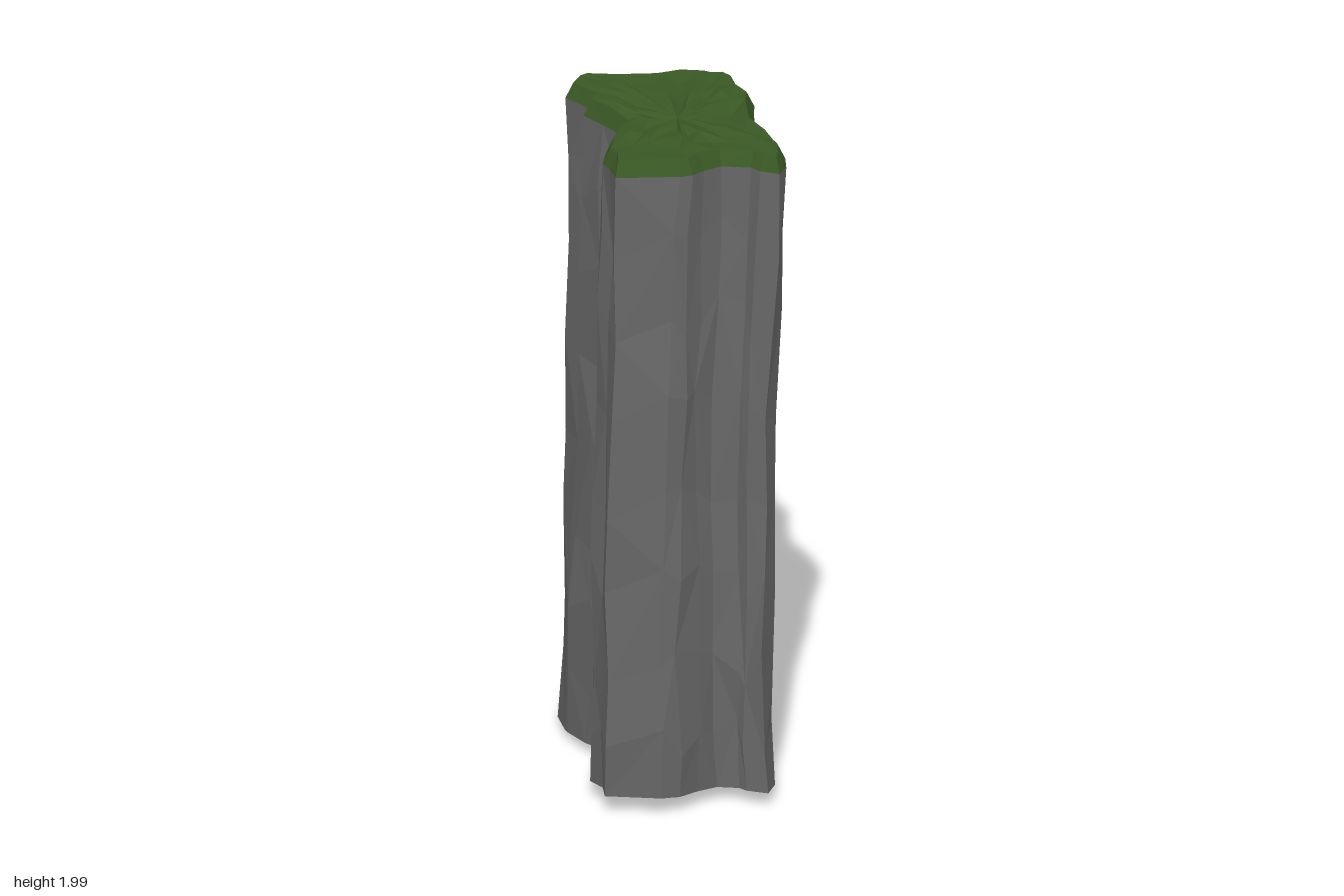
import * as THREE from 'three';

// Outlines as x, z pairs, clockwise seen from above; points correspond
const TOP = [
  -0.14, -0.49, -0.10, -0.47, -0.075, -0.50, -0.02, -0.47, 0.03, -0.405, 0.085, -0.37,
  0.12, -0.30, 0.16, -0.23, 0.21, -0.15, 0.29, -0.09, 0.35, -0.03, 0.38, 0.00,
  0.42, 0.07, 0.43, 0.13, 0.37, 0.135, 0.33, 0.12, 0.25, 0.15, 0.225, 0.21,
  0.215, 0.26, 0.19, 0.29, 0.03, 0.39, -0.02, 0.33, -0.065, 0.29, -0.10, 0.20,
  -0.13, 0.11, -0.14, 0.04, -0.22, -0.01, -0.31, -0.06, -0.32, -0.12, -0.43, -0.175,
  -0.445, -0.255, -0.42, -0.28, -0.375, -0.315, -0.34, -0.325, -0.25, -0.39, -0.20, -0.44,
];
const BOTTOM = [
  -0.14, -0.38, -0.10, -0.36, -0.06, -0.39, -0.01, -0.36, 0.04, -0.30, 0.09, -0.27,
  0.125, -0.20, 0.17, -0.13, 0.215, -0.05, 0.29, 0.01, 0.35, 0.07, 0.39, 0.10,
  0.425, 0.15, 0.445, 0.23, 0.38, 0.24, 0.35, 0.23, 0.29, 0.255, 0.26, 0.32,
  0.24, 0.39, 0.20, 0.43, 0.05, 0.495, 0.01, 0.43, -0.05, 0.395, -0.10, 0.29,
  -0.13, 0.20, -0.14, 0.13, -0.22, 0.10, -0.31, 0.04, -0.33, 0.02, -0.40, -0.07,
  -0.42, -0.15, -0.40, -0.18, -0.36, -0.205, -0.33, -0.215, -0.25, -0.28, -0.20, -0.33,
];
const N = TOP.length / 2;

// Sloping planes of the underside and of the grass line
const baseY = (x, z) => Math.max(0, 0.024 + 0.01 * x + 0.06 * z);
const grassY = (x, z) => 1.92 + 0.02 * x + 0.05 * z;

function seeded(seed) {
  return () => {
    seed = (seed * 16807) % 2147483647;
    return (seed / 2147483647) * 2 - 1;
  };
}

// Faceted skin over a stack of rings, with an optional closing point
function skin(rings, tip, tipUp) {
  const out = [];
  const tri = (a, b, c) => { for (const p of [a, b, c]) out.push(p.x, p.y, p.z); };
  for (let k = 0; k + 1 < rings.length; k++) {
    for (let i = 0; i < N; i++) {
      const j = (i + 1) % N, lo = rings[k], hi = rings[k + 1];
      if ((i + k) % 2) {
        tri(lo[j], lo[i], hi[i]);
        tri(lo[j], hi[i], hi[j]);
      } else {
        tri(lo[j], lo[i], hi[j]);
        tri(lo[i], hi[i], hi[j]);
      }
    }
  }
  if (tip) {
    const ring = rings[rings.length - 1];
    for (let i = 0; i < N; i++) {
      const j = (i + 1) % N;
      if (tipUp) tri(ring[j], ring[i], tip);
      else tri(ring[i], ring[j], tip);
    }
  }
  const g = new THREE.BufferGeometry();
  g.setAttribute('position', new THREE.Float32BufferAttribute(out, 3));
  g.computeVertexNormals();
  return g;
}

export function createModel() {
  const rock = new THREE.MeshStandardMaterial({ color: 0x666666, flatShading: true });
  rock.name = 'rock grey';
  const grass = new THREE.MeshStandardMaterial({ color: 0x3a5925, flatShading: true });
  grass.name = 'grass green';
  const model = new THREE.Group();
  model.name = 'rockPillar';
  const add = (name, geometry, material) => {
    const mesh = new THREE.Mesh(geometry, material);
    mesh.name = name;
    model.add(mesh);
  };

  // Leaning rock wall: rings blend from the bottom outline to the top one
  const rnd = seeded(41);
  const levels = [0, 0.09, 0.2, 0.34, 0.48, 0.62, 0.76, 0.89, 1];
  const wall = levels.map((v) => {
    const t = Math.max(0, (v - 0.15) / 0.85);
    const waist = Math.sin(Math.PI * v);
    const inner = v > 0 && v < 1 ? 1 : 0;
    return Array.from({ length: N }, (_, i) => {
      const mix = (c) => THREE.MathUtils.lerp(BOTTOM[2 * i + c], TOP[2 * i + c], t);
      const x = mix(0) * (1 - 0.045 * waist) + inner * 0.01 * rnd();
      const z = mix(1) + inner * 0.01 * rnd();
      const h = v + inner * 0.035 * rnd();
      return new THREE.Vector3(x, THREE.MathUtils.lerp(baseY(x, z), grassY(x, z), h), z);
    });
  });
  add('rockWall', skin(wall), rock);

  // Flat underside
  add('rockUnderside', skin([wall[0]], new THREE.Vector3(0, baseY(0, 0.06), 0.06), false), rock);

  // Grass rim: bevel inset along the outline's own normals
  const edge = wall[wall.length - 1];
  const bump = seeded(97);
  const rim = edge.map((p, i) => {
    const d = edge[(i + 1) % N].clone().sub(edge[(i + N - 1) % N]).setY(0).normalize();
    const x = p.x - d.z * 0.024, z = p.z + d.x * 0.024;
    return new THREE.Vector3(x, grassY(x, z) + 0.05 + 0.005 * bump(), z);
  });
  add('grassRim', skin([edge, rim]), grass);

  // Uneven turf: rings shrinking to the middle
  const mid = new THREE.Vector3(0, 1.965, -0.05);
  const turf = [rim];
  for (const s of [0.76, 0.5, 0.24]) {
    turf.push(rim.map((p) => {
      const q = p.clone().lerp(mid, 1 - s);
      // shallow hollow near the back right edge
      const hollow = 0.02 * Math.exp(-((q.x - 0.13) ** 2 + (q.z + 0.14) ** 2) / 0.008);
      q.y = grassY(q.x, q.z) + 0.05 - hollow + 0.009 * bump();
      return q;
    }));
  }
  add('grassTop', skin(turf, mid, true), grass);

  return model;
}
